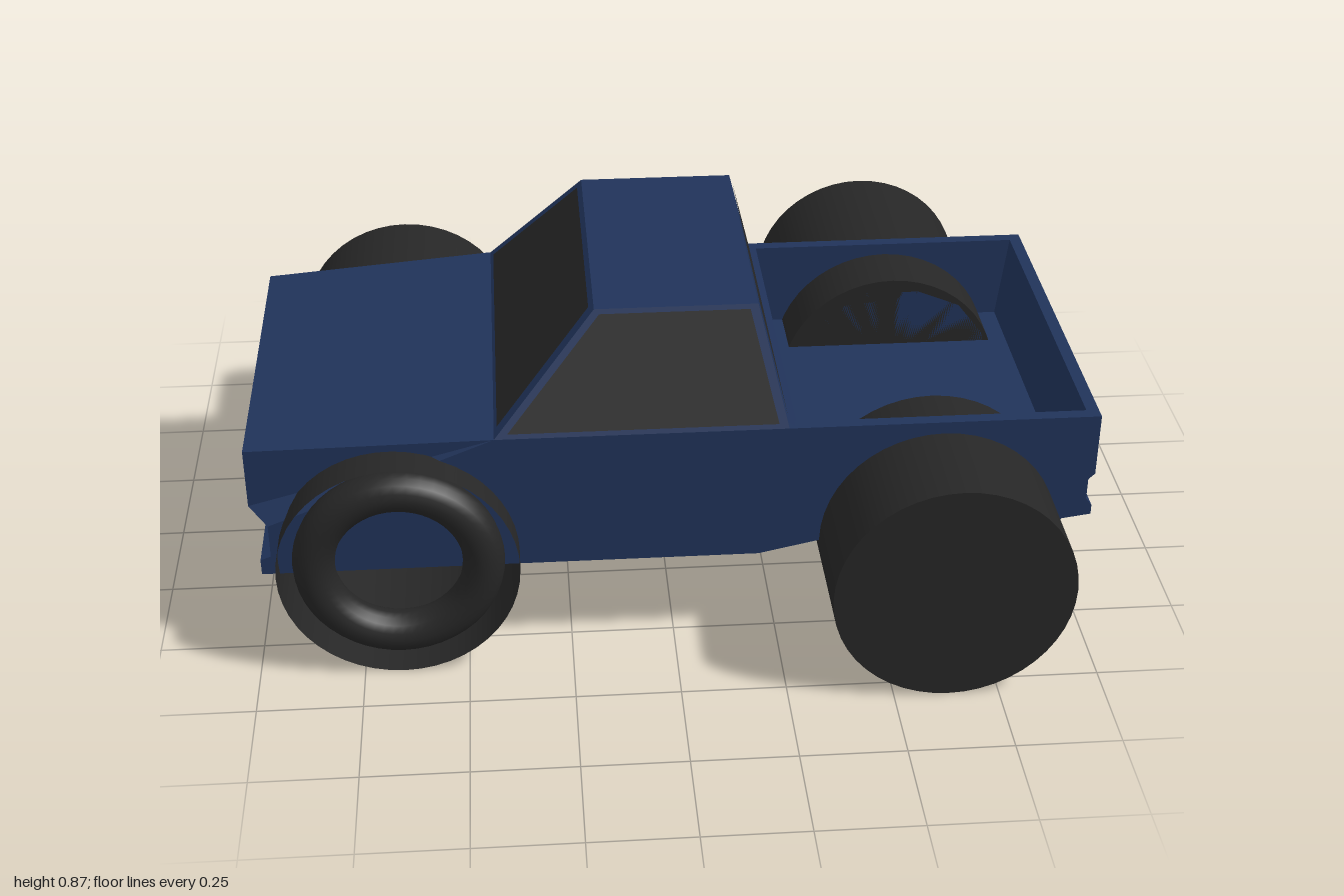
import * as THREE from 'three';

const MID = 0.085; // centre line of the body in z
const mat = (color, side = THREE.FrontSide) => new THREE.MeshStandardMaterial({ color, side });
const V = (x, y, z) => new THREE.Vector3(x, y, z);

export function createModel() {
  const model = new THREE.Group();
  model.name = 'pickupTruck';
  const blue = mat(0x20335a);
  const black = mat(0x262626, THREE.DoubleSide);
  const grey = mat(0xcccccc);
  blue.flatShading = true;

  const add = (name, geometry, material, x = 0, y = 0, z = 0) => {
    const mesh = new THREE.Mesh(geometry, material);
    mesh.name = name;
    mesh.position.set(x, y, z);
    model.add(mesh);
    return mesh;
  };
  // side profile in x/y, extruded from z0 to z1
  const slab = (points, z0, z1) => {
    const shape = new THREE.Shape(points.map(([x, y]) => new THREE.Vector2(x, y)));
    return new THREE.ExtrudeGeometry(shape, { depth: z1 - z0, bevelEnabled: false }).translate(0, 0, z0);
  };
  const rod = (r, z0, z1, sides, open = false) =>
    new THREE.CylinderGeometry(r, r, z1 - z0, sides, 1, open).rotateX(Math.PI / 2).translate(0, 0, (z0 + z1) / 2);

  // front half of the hull, narrowing towards the nose above the bumper
  const nose = slab([
    [-0.98, 0.25], [-0.42, 0.25], [-0.42, 0.6], [-1, 0.57],
    [-1, 0.42], [-0.955, 0.385], [-0.955, 0.3], [-0.98, 0.29],
  ], -0.38, 0.55);
  const p = nose.attributes.position;
  for (let i = 0; i < p.count; i++) {
    if (p.getX(i) < -0.9 && p.getY(i) > 0.4) p.setZ(i, MID + (p.getZ(i) - MID) * 0.92);
  }
  nose.computeVertexNormals();
  add('hood', nose, blue);

  // rear half of the hull with the bed floor and the tailgate
  add('bedAndTailgate', slab([
    [-0.42, 0.25], [0.2, 0.25], [0.36, 0.285], [0.91, 0.285], [0.93, 0.315], [1, 0.325],
    [1, 0.35], [0.985, 0.37], [0.985, 0.425], [1, 0.44], [1, 0.6], [0.97, 0.6],
    [0.945, 0.38], [0.285, 0.38], [0.285, 0.6], [-0.42, 0.6],
  ], -0.38, 0.55), blue);

  // bed sides and inner wheel arches
  const arch = [[0.38, 0.37], [0.38, 0.4], [0.46, 0.49], [0.56, 0.535], [0.7, 0.535], [0.81, 0.49], [0.88, 0.4], [0.88, 0.37]];
  for (const s of [-1, 1]) {
    const span = (a, b) => [MID + s * a, MID + s * b].sort((m, n) => m - n);
    add('bedSide', slab([[0.28, 0.37], [0.955, 0.37], [0.975, 0.6], [0.28, 0.6]], ...span(0.435, 0.465)), blue);
    add('wheelArch', slab([...arch].reverse(), ...span(0.285, 0.44)), blue);
  }

  // cab: a box pulled in towards the roof
  const base = [-0.42, 0.265, -0.38, 0.55, 0.6];
  const roof = [-0.18, 0.2, -0.255, 0.425, 0.865];
  const corner = (top, sx, sz) => {
    const r = top ? roof : base;
    return V(r[sx > 0 ? 1 : 0], r[4], r[sz > 0 ? 3 : 2]);
  };
  const cab = new THREE.BoxGeometry(1, 1, 1);
  const c = cab.attributes.position;
  for (let i = 0; i < c.count; i++) {
    const v = corner(c.getY(i) > 0, c.getX(i), c.getZ(i));
    c.setXYZ(i, v.x, v.y, v.z);
  }
  cab.computeVertexNormals();
  add('cab', cab, blue);

  // windows: each cab face shrunk a little and lifted off the surface
  const sides = {
    windshield: [[-1, -1], [-1, 1]],
    rearWindow: [[1, 1], [1, -1]],
    leftWindow: [[-1, 1], [1, 1]],
    rightWindow: [[1, -1], [-1, -1]],
  };
  for (const [name, [a, b]] of Object.entries(sides)) {
    const q = [corner(false, ...a), corner(false, ...b), corner(true, ...b), corner(true, ...a)];
    const mid = q.reduce((sum, v) => sum.add(v), V(0, 0, 0)).multiplyScalar(0.25);
    const n = q[1].clone().sub(q[0]).cross(q[3].clone().sub(q[0])).normalize();
    const pts = [0, 1, 2, 0, 2, 3].map((k) => q[k].clone().lerp(mid, 0.08).addScaledVector(n, 0.003));
    const g = new THREE.BufferGeometry().setFromPoints(pts);
    g.computeVertexNormals();
    add(name, g, black);
  }

  // solid rear wheels
  add('rearLeftWheel', rod(0.285, 0.38, 0.8, 48), black, 0.63, 0.285);
  add('rearRightWheel', rod(0.285, -0.8, -0.2, 48), black, 0.63, 0.285);

  // front roller: an open tube with a ring set into each end
  add('frontTube', rod(0.285, -0.62, 0.62, 48, true), black, -0.655, 0.285);
  for (const z of [-0.56, 0.57]) {
    add('frontWheelRing', new THREE.TorusGeometry(0.2, 0.05, 16, 48), black, -0.655, 0.285, z);
  }
  add('frontWheelDisc', new THREE.CircleGeometry(0.2, 32), black, -0.655, 0.285, -0.1);

  // running gear
  add('rearAxle', rod(0.023, -0.21, 0.39, 8), grey, 0.63, 0.262);
  add('axleHousing', rod(0.027, 0, 0.18, 8), grey, 0.63, 0.262);
  add('driveShaft', slab([
    [-0.7, 0.25], [-0.68, 0.215], [-0.59, 0.243], [0.2, 0.243], [0.62, 0.245], [0.62, 0.28], [0.36, 0.28], [0.2, 0.252],
  ], 0, 0.18), grey);

  return model;
}
